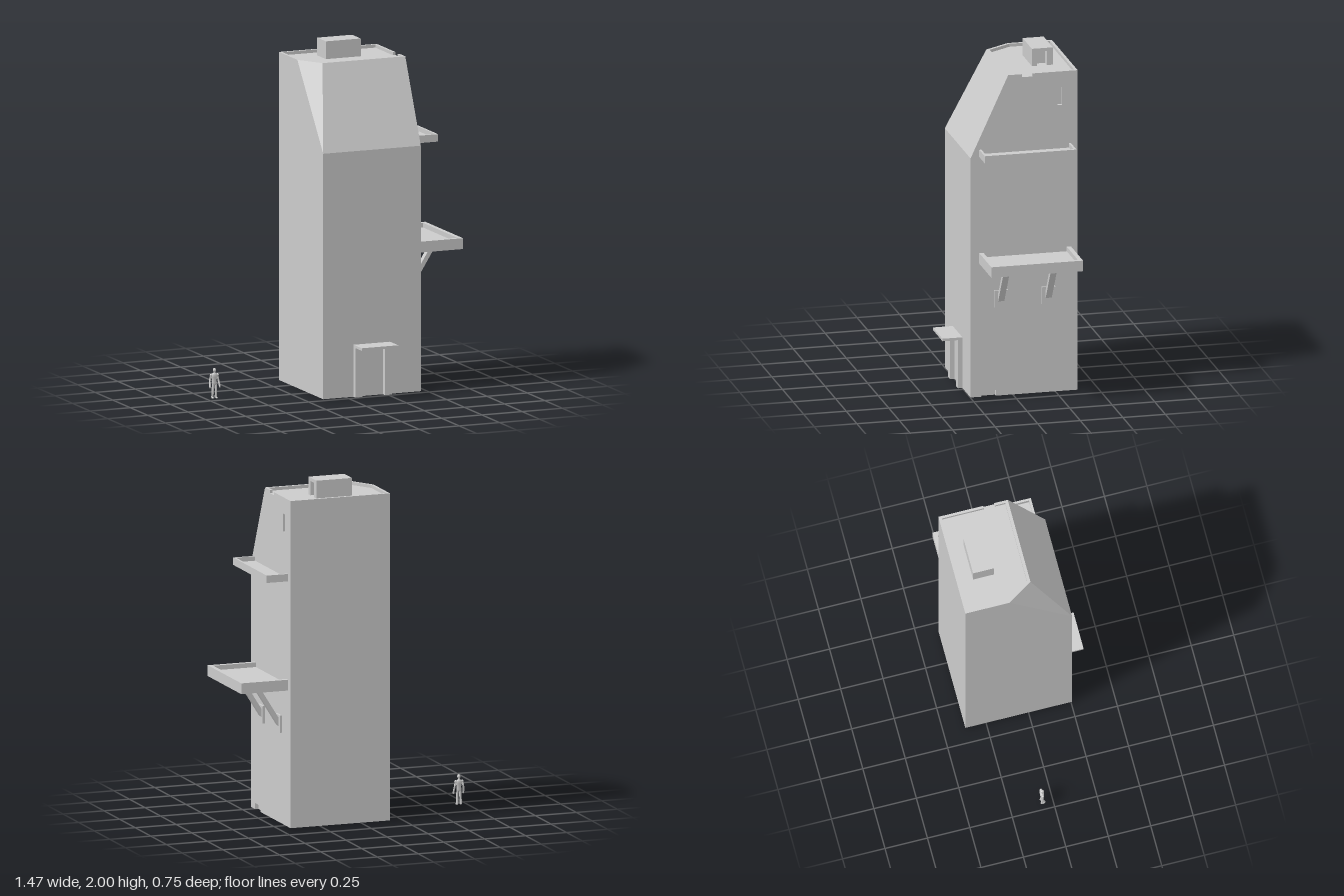
import * as THREE from 'three';
import { ConvexGeometry } from 'three/addons/geometries/ConvexGeometry.js';

const grey = new THREE.MeshStandardMaterial({ color: 0xcccccc, flatShading: true });
const smooth = new THREE.MeshStandardMaterial({ color: 0xcccccc });

// Main levels and limits of the tower
const L = -0.162, R = 0.445, F = 0.256, B = -0.373;
const BASE = 0.01, SHOULDER = 1.435, ROOF = 1.897, TOP = 1.915;
const WALL = 0.02;                                  // depth of the recesses in the side wall
const T = (TOP - ROOF) / (TOP - SHOULDER);
const lerp = THREE.MathUtils.lerp;
const slopeZ = lerp(0.035, F, T);                   // front edge of the slope at roof level

function add(parent, name, geometry, material = grey) {
  const mesh = new THREE.Mesh(geometry, material);
  mesh.name = name;
  parent.add(mesh);
  return mesh;
}

// Box given by its limits
function box(parent, name, x0, x1, y0, y1, z0, z1) {
  const mesh = add(parent, name, new THREE.BoxGeometry(x1 - x0, y1 - y0, z1 - z0));
  mesh.position.set((x0 + x1) / 2, (y0 + y1) / 2, (z0 + z1) / 2);
  return mesh;
}

// Side profile of [z, y] points, extruded along x
function sideSlab(parent, name, points, x0, x1, holes = []) {
  const toPath = (pts) => pts.map(([z, y]) => new THREE.Vector2(-z, y));
  const shape = new THREE.Shape(toPath(points));
  holes.forEach((h) => shape.holes.push(new THREE.Path(toPath(h))));
  const g = new THREE.ExtrudeGeometry(shape, { depth: x1 - x0, bevelEnabled: false });
  g.rotateY(Math.PI / 2).translate(x0, 0, 0);
  return add(parent, name, g);
}

function buildTower() {
  const tower = new THREE.Group();
  tower.name = 'tower';
  const core = R - WALL;
  const v = (x, y, z) => new THREE.Vector3(x, y, z);
  add(tower, 'towerBody', new ConvexGeometry([
    v(L, BASE, F), v(core, BASE, F), v(core, BASE, B), v(L, BASE, B),
    v(L, SHOULDER, F), v(core, SHOULDER, F),
    v(lerp(-0.07, L, T), ROOF, slopeZ), v(core, ROOF, slopeZ),
    v(L, ROOF, lerp(-0.112, F, T)), v(L, ROOF, B), v(core, ROOF, B),
  ]));

  // Side wall with a slot window and a low hatch at the foot
  sideSlab(tower, 'sideWall', [
    [F, BASE], [0.193, BASE], [0.193, 0.045], [0.108, 0.045], [0.108, BASE],
    [B, BASE], [B, ROOF], [slopeZ, ROOF], [F, SHOULDER],
  ], core, R, [[[-0.256, 1.715], [-0.282, 1.715], [-0.282, 1.82], [-0.256, 1.82]]]);

  // Parapet: one strip around the roof, with a gap on the side
  const outer = [[R, -0.045], [R, 0.035], [-0.07, 0.035], [L, -0.112], [L, B], [R, B], [R, -0.108]];
  const inner = [[0.43, -0.108], [0.43, -0.357], [-0.146, -0.357], [-0.146, -0.118],
    [-0.061, 0.017], [0.43, 0.017], [0.43, -0.045]];
  const shape = new THREE.Shape([...outer, ...inner].map(([x, z]) => new THREE.Vector2(x, -z)));
  const g = new THREE.ExtrudeGeometry(shape, { depth: TOP - ROOF, bevelEnabled: false });
  g.rotateX(-Math.PI / 2).translate(0, ROOF, 0);
  // Its sloping sides flare to meet the faces below
  const p = g.attributes.position;
  for (let i = 0; i < p.count; i++) {
    if (p.getY(i) > ROOF + 0.005) continue;
    const x = p.getX(i), z = p.getZ(i);
    const near = (a, b) => Math.hypot(x - a, z - b) < 0.002;
    if (near(R, 0.035)) p.setZ(i, slopeZ);
    else if (near(-0.07, 0.035)) p.setXYZ(i, lerp(x, L, T), ROOF, slopeZ);
    else if (near(L, -0.112)) p.setZ(i, lerp(z, F, T));
  }
  g.computeVertexNormals();
  add(tower, 'parapet', g);
  return tower;
}

// Roof hut with a recessed doorway
function buildRoofHut() {
  const hut = new THREE.Group();
  hut.name = 'roofHut';
  const z0 = -0.276, z1 = -0.153;
  box(hut, 'hutBody', 0.033, 0.205, ROOF, 2, z0, z1);
  sideSlab(hut, 'hutDoorway', [
    [z1, ROOF], [-0.183, ROOF], [-0.183, 1.98], [-0.241, 1.98], [-0.241, ROOF],
    [z0, ROOF], [z0, 2], [z1, 2],
  ], 0.205, 0.25);
  return hut;
}

// Landing platform with a rim on its three free sides
function buildPlatform(name, x1, y0, floor, y1, rim) {
  const platform = new THREE.Group();
  platform.name = name;
  const z0 = -0.334, z1 = 0.205;
  box(platform, 'platformFloor', R, x1, y0, floor, z0, z1);
  box(platform, 'outerRim', x1 - rim, x1, floor, y1, z0, z1);
  box(platform, 'frontRim', R, x1 - rim, floor, y1, z1 - rim, z1);
  box(platform, 'backRim', R, x1 - rim, floor, y1, z0, z0 + rim);
  return platform;
}

// Wall plate and diagonal strut
function buildBracket(z) {
  const bracket = new THREE.Group();
  bracket.name = 'bracket';
  box(bracket, 'wallPlate', R, 0.458, 0.54, 0.64, z - 0.04, z + 0.04);
  const strut = new THREE.Shape([[0.452, 0.565], [0.602, 0.806], [0.572, 0.806], [0.452, 0.613]]
    .map(([x, y]) => new THREE.Vector2(x, y)));
  const g = new THREE.ExtrudeGeometry(strut, { depth: 0.036, bevelEnabled: false });
  add(bracket, 'strut', g.translate(0, 0, z - 0.018));
  return bracket;
}

function buildEntrance() {
  const entrance = new THREE.Group();
  entrance.name = 'entrance';
  box(entrance, 'canopy', 0.027, 0.254, 0.297, 0.312, F, 0.373);
  for (const x of [0.027, 0.211]) box(entrance, 'doorPost', x, x + 0.043, BASE, 0.297, F, 0.283);
  return entrance;
}

// Small standing person for scale
function buildFigure() {
  const figure = new THREE.Group();
  figure.name = 'standingFigure';
  const limb = (name, points, r) => add(figure, name, new THREE.TubeGeometry(
    new THREE.CatmullRomCurve3(points.map((q) => new THREE.Vector3(...q))), 10, r, 8), smooth);
  const ball = (name, x, y, z, sx, sy, sz) => {
    const m = add(figure, name, new THREE.SphereGeometry(1, 12, 8), smooth);
    m.position.set(x, y, z);
    m.scale.set(sx, sy, sz);
  };
  const torso = new THREE.LatheGeometry([[0, 0.078], [0.014, 0.08], [0.015, 0.092], [0.0135, 0.107],
    [0.018, 0.125], [0.02, 0.138], [0.013, 0.145], [0.006, 0.148], [0.0055, 0.156]]
    .map(([r, y]) => new THREE.Vector2(r, y)), 14);
  add(figure, 'torso', torso.scale(1, 1, 0.62), smooth);
  ball('head', 0, 0.165, 0.002, 0.0095, 0.0125, 0.011);
  for (const s of [-1, 1]) {
    limb('arm', [[s * 0.02, 0.138, 0], [s * 0.026, 0.11, -0.003], [s * 0.03, 0.075, 0.007]], 0.0055);
    ball('shoulder', s * 0.02, 0.137, 0, 0.008, 0.008, 0.008);
    ball('hand', s * 0.03, 0.071, 0.008, 0.005, 0.009, 0.006);
    limb('leg', [[s * 0.008, 0.085, 0], [s * 0.01, 0.045, 0.001], [s * 0.011, 0.006, -0.003]], 0.0072);
    ball('foot', s * 0.012, 0.005, 0.004, 0.006, 0.005, 0.012);
  }
  figure.position.set(-0.7, 0, -0.063);
  return figure;
}

export function createModel() {
  const model = new THREE.Group();
  model.name = 'towerWithPlatforms';
  model.add(
    buildTower(),
    buildRoofHut(),
    buildPlatform('lowerPlatform', 0.73, 0.804, 0.84, 0.867, 0.025),
    buildPlatform('upperPlatform', 0.575, 1.44, 1.457, 1.483, 0.013),
    buildBracket(0.079),
    buildBracket(-0.2),
    buildEntrance(),
    buildFigure(),
  );
  return model;
}
